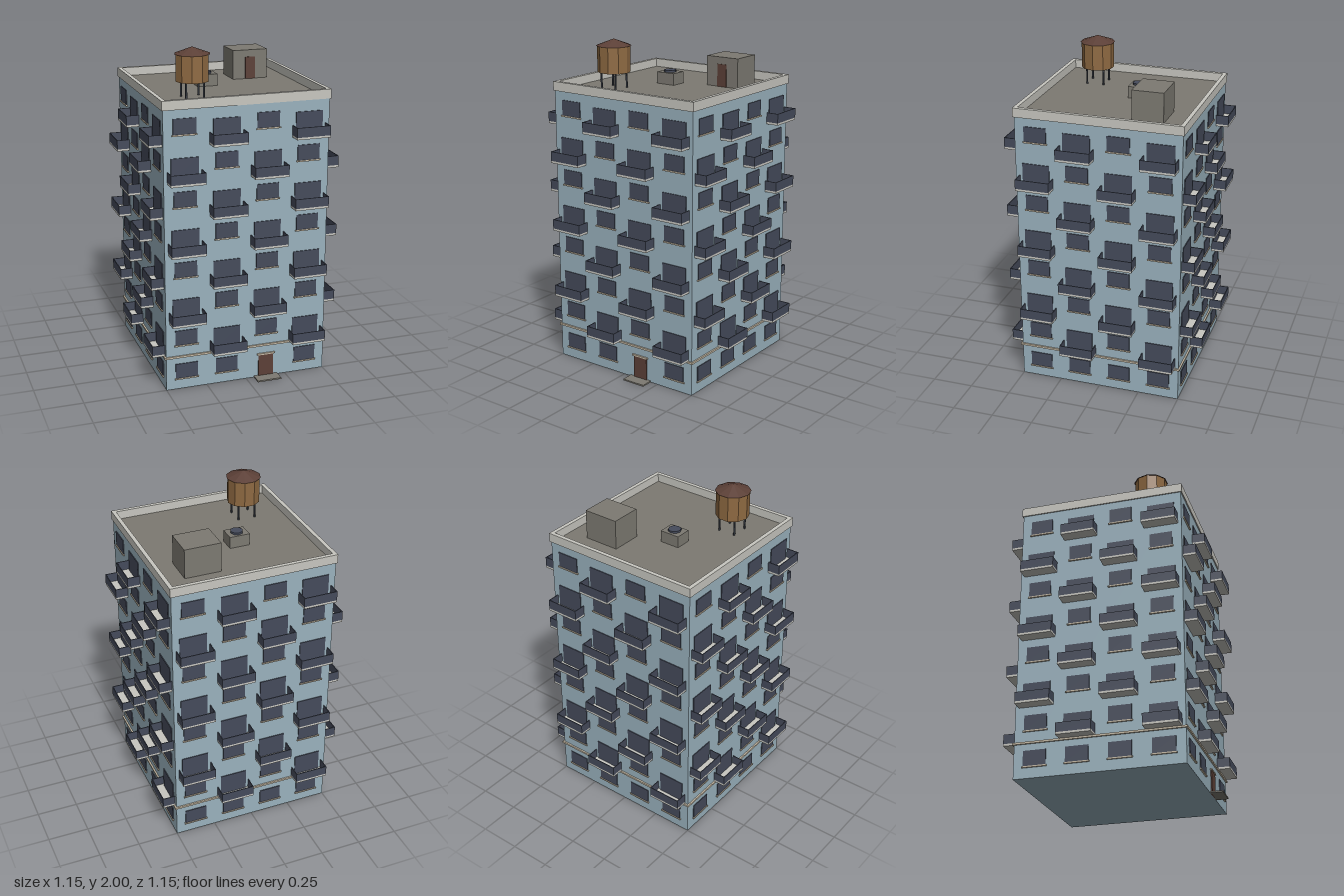
import * as THREE from 'three';

const mat = (name, color, flatShading = false) => {
  const m = new THREE.MeshStandardMaterial({ color, flatShading });
  m.name = name;
  return m;
};

export function createModel() {
  const wall = mat('blue wall', 0x9ab2be);
  const concrete = mat('pale concrete', 0xc8c7c0);
  const trim = mat('tan trim', 0xc9bda8);
  const glass = mat('dark blue glass', 0x454b5b);
  const roofGrey = mat('roof grey', 0x7d7a72);
  const brown = mat('dark brown', 0x5c4037, true);
  const wood = mat('tank wood', 0x8f6a42, true);
  const iron = mat('dark iron', 0x3a3f48);

  const model = new THREE.Group();
  model.name = 'apartmentBlock';

  const add = (parent, name, geometry, material, x, y, z) => {
    const mesh = new THREE.Mesh(geometry, material);
    mesh.name = name;
    mesh.position.set(x, y, z);
    parent.add(mesh);
    return mesh;
  };
  // Box standing on y
  const box = (parent, name, material, w, h, d, x, y, z) =>
    add(parent, name, new THREE.BoxGeometry(w, h, d), material, x, y + h / 2, z);
  const group = (name, x = 0, y = 0, z = 0) => {
    const g = new THREE.Group();
    g.name = name;
    g.position.set(x, y, z);
    model.add(g);
    return g;
  };

  const FLOORS = 8, PITCH = 0.2125, H = FLOORS * PITCH, HALF = 0.5;

  // Main block, roof deck and the band above the ground floor
  box(model, 'body', wall, 1, H, 1, 0, 0, 0);
  box(model, 'roofDeck', roofGrey, 0.98, 0.004, 0.98, 0, H, 0);
  box(model, 'floorBand', trim, 1.02, 0.012, 1.02, 0, 0.202, 0);

  // Parapet: a square ring
  const square = (P, r) => {
    const s = new P();
    s.moveTo(-r, -r);
    s.lineTo(r, -r);
    s.lineTo(r, r);
    s.lineTo(-r, r);
    s.closePath();
    return s;
  };
  const ring = square(THREE.Shape, 0.507);
  ring.holes.push(square(THREE.Path, 0.483));
  const ringGeo = new THREE.ExtrudeGeometry(ring, { depth: 0.055, bevelEnabled: false });
  ringGeo.rotateX(-Math.PI / 2);
  add(model, 'parapet', ringGeo, concrete, 0, H, 0);

  const addWindow = (parent, x, y) => {
    box(parent, 'window', glass, 0.136, 0.092, 0.008, x, y + 0.07, HALF + 0.001);
    box(parent, 'windowSill', trim, 0.148, 0.008, 0.012, x, y + 0.062, HALF + 0.004);
  };

  const addBalcony = (parent, x, y) => {
    const w = 0.207, d = 0.077, t = 0.005, railH = 0.057, railY = y + 0.013;
    box(parent, 'balconyDoor', glass, 0.165, 0.135, 0.008, x, y + 0.012, HALF + 0.001);
    box(parent, 'balconySlab', concrete, w, 0.013, d, x, y, HALF + d / 2);
    box(parent, 'balconyFrontRail', glass, w, railH, t, x, railY, HALF + d - t / 2);
    for (const s of [-1, 1])
      box(parent, 'balconySideRail', glass, t, railH, d - t, x + s * (w - t) / 2, railY, HALF + (d - t) / 2);
  };

  // Four facades: windows and balconies in a checker pattern
  ['front', 'right', 'back', 'left'].forEach((side, i) => {
    const facade = group(side + 'Facade');
    facade.rotation.y = i * Math.PI / 2;
    for (let f = 0; f < FLOORS; f++) {
      for (let c = 0; c < 4; c++) {
        const x = -0.375 + c * 0.25, y = f * PITCH;
        if (f === 0 && c === 2 && i === 0) continue;
        if (f > 0 && (f + c) % 2 === 0) addBalcony(facade, x, y);
        else addWindow(facade, x, y);
      }
    }
  });

  // Entrance
  const entrance = group('entrance', 0.125, 0, HALF);
  box(entrance, 'entranceDoor', brown, 0.094, 0.145, 0.009, 0, 0, 0.002);
  box(entrance, 'doorLintel', trim, 0.112, 0.009, 0.014, 0, 0.145, 0.004);
  box(entrance, 'doorStep', roofGrey, 0.15, 0.009, 0.075, 0, 0, 0.0375);

  // Stair house on the roof
  const stairHouse = group('stairHouse', 0.25, H, -0.2525);
  box(stairHouse, 'stairHouseWalls', roofGrey, 0.22, 0.183, 0.189, 0, 0, 0);
  box(stairHouse, 'stairHouseDoor', brown, 0.064, 0.14, 0.006, 0, 0, 0.0955);

  // Ventilation unit
  const vent = group('ventUnit', -0.07, H, -0.07);
  box(vent, 'ventBox', roofGrey, 0.124, 0.075, 0.1, 0, 0, 0);
  add(vent, 'ventFan', new THREE.CylinderGeometry(0.038, 0.038, 0.012, 8), glass, 0, 0.081, 0);

  // Water tank on four legs
  const tank = group('waterTank', -0.25, H, 0.25);
  for (const sx of [-1, 1])
    for (const sz of [-1, 1])
      add(tank, 'tankLeg', new THREE.CylinderGeometry(0.006, 0.006, 0.11, 6), iron, sx * 0.053, 0.055, sz * 0.053);
  const barrel = add(tank, 'tankBarrel', new THREE.CylinderGeometry(0.099, 0.099, 0.157, 10), wood, 0, 0.1815, 0);
  const cap = add(tank, 'tankRoof', new THREE.ConeGeometry(0.106, 0.04, 10), brown, 0, 0.28, 0);
  barrel.rotation.y = cap.rotation.y = Math.PI / 10;

  return model;
}
